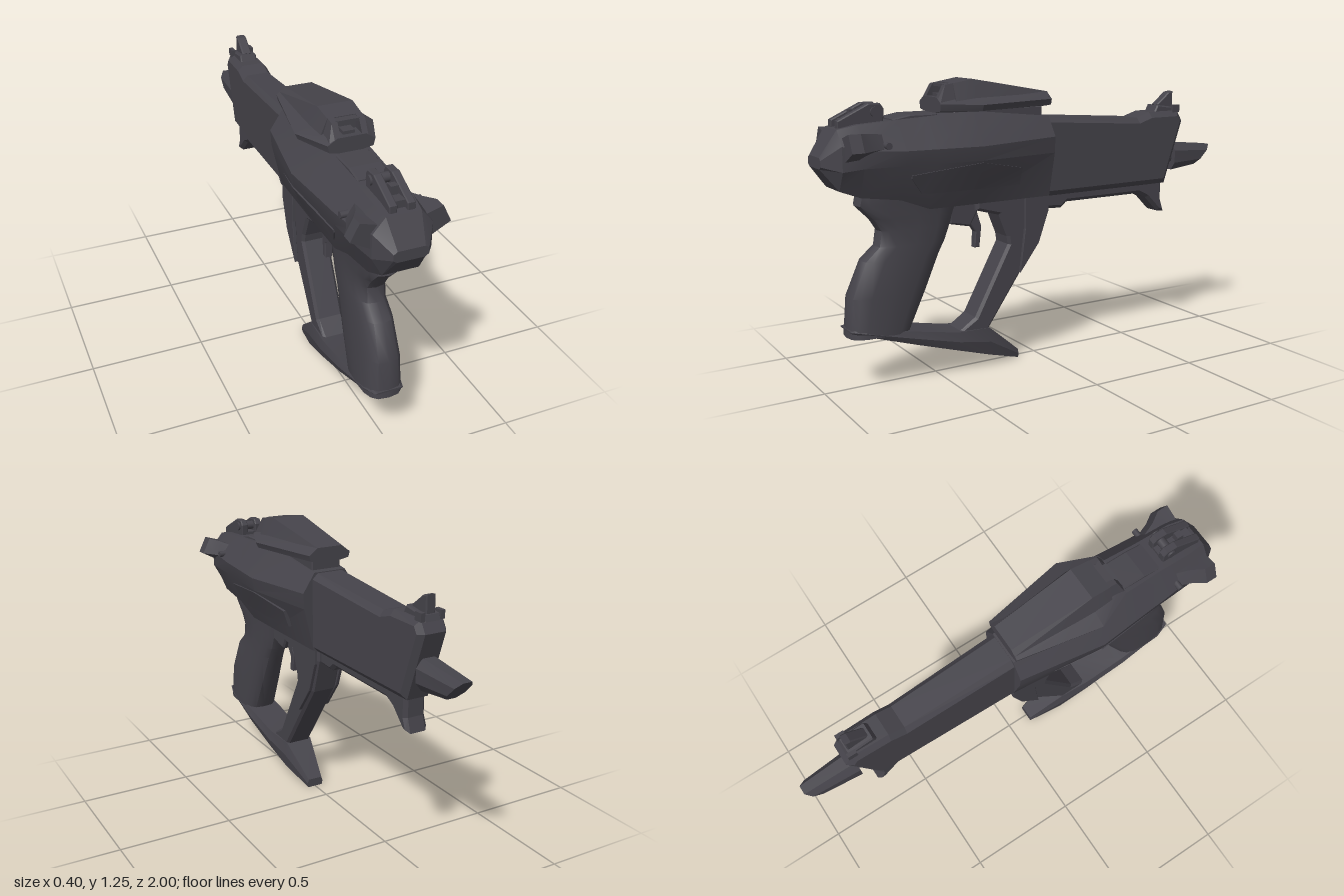
import * as THREE from 'three';
import { toCreasedNormals } from 'three/addons/utils/BufferGeometryUtils.js';

// Skin a list of equal-length rings of [x, y, z] points and cap both ends
function loft(rings, crease = 0.3) {
  const n = rings[0].length, tris = [];
  for (let i = 0; i < rings.length - 1; i++) {
    for (let j = 0; j < n; j++) {
      const k = (j + 1) % n;
      const [a, b, c, d] = [rings[i][j], rings[i][k], rings[i + 1][k], rings[i + 1][j]];
      tris.push([a, b, c], [a, c, d]);
    }
  }
  const last = rings[rings.length - 1];
  for (let j = 1; j < n - 1; j++) {
    tris.push([rings[0][0], rings[0][j + 1], rings[0][j]], [last[0], last[j], last[j + 1]]);
  }
  // Turn the corners round if the skin is inside out
  const v = (p) => new THREE.Vector3(...p);
  const volume = tris.reduce((s, [a, b, c]) => s + v(a).dot(v(b).cross(v(c))), 0);
  if (volume < 0) tris.forEach((t) => t.reverse());
  const geo = new THREE.BufferGeometry();
  geo.setAttribute('position', new THREE.Float32BufferAttribute(tris.flat(2), 3));
  return toCreasedNormals(geo, crease);
}

// Side profile of [z, y] points, extruded across x with chamfered edges
function slab(profile, halfWidth, bevel = 0.012, x = 0) {
  const shape = new THREE.Shape(profile.map(([z, y]) => new THREE.Vector2(z, y)));
  const depth = 2 * (halfWidth - bevel);
  const geo = new THREE.ExtrudeGeometry(shape, {
    depth, bevelEnabled: bevel > 0, bevelSegments: 1, bevelSize: bevel,
    bevelOffset: -bevel, bevelThickness: bevel,
  });
  return geo.translate(0, 0, -depth / 2).rotateY(-Math.PI / 2).translate(x, 0, 0);
}

// Symmetric ring at z from the +x half of a cross-section, listed top to bottom
const mirrorRing = (z, half) => [
  ...half.map(([x, y]) => [x, y, z]),
  ...half.slice().reverse().map(([x, y]) => [-x, y, z]),
];

// Receiver stations: z, then the right half of the section
const STATIONS = [
  [-0.03, [[0.075, 1.085], [0.13, 1.0], [0.125, 0.93], [0.08, 0.735]]],
  [0.35, [[0.09, 1.125], [0.187, 0.99], [0.177, 0.93], [0.085, 0.735]]],
  [0.55, [[0.085, 1.112], [0.17, 0.99], [0.16, 0.93], [0.085, 0.735]]],
  [0.68, [[0.08, 1.105], [0.16, 0.99], [0.15, 0.93], [0.09, 0.785]]],
  [0.85, [[0.08, 1.095], [0.145, 1.0], [0.14, 0.93], [0.09, 0.81]]],
  [0.93, [[0.07, 1.08], [0.12, 1.02], [0.12, 0.92], [0.075, 0.84]]],
  [1.0, [[0.055, 0.975], [0.07, 0.965], [0.07, 0.94], [0.055, 0.93]]],
];

// Receiver half-width at a given z and y on its lower flank
function flankX(z, y) {
  const i = Math.max(1, STATIONS.findIndex((s) => s[0] >= z));
  const [a, b] = [STATIONS[i - 1], STATIONS[i]];
  const t = (z - a[0]) / (b[0] - a[0]);
  const at = (k, c) => THREE.MathUtils.lerp(a[1][k][c], b[1][k][c], t);
  const s = (y - at(3, 1)) / (at(2, 1) - at(3, 1));
  return THREE.MathUtils.lerp(at(3, 0), at(2, 0), s);
}

export function createModel() {
  const model = new THREE.Group();
  const gunmetal = new THREE.MeshStandardMaterial({ color: 0x45434a });
  const add = (name, geo) => {
    const mesh = new THREE.Mesh(geo, gunmetal);
    mesh.name = name;
    model.add(mesh);
    return mesh;
  };
  const box = (name, w, h, d, x, y, z) =>
    add(name, new THREE.BoxGeometry(w, h, d).translate(x, y, z));

  // Receiver
  add('receiver', loft(STATIONS.map(([z, half]) => mirrorRing(z, half))));

  // Long housing, narrowing towards its far end
  const housing = slab([[0, 1.083], [-0.53, 1.048], [-0.6, 1.07], [-0.77, 1.07], [-0.8, 1.02],
    [-0.7, 0.73], [0, 0.73]], 0.085, 0.025);
  const p = housing.attributes.position;
  for (let i = 0; i < p.count; i++) p.setX(i, p.getX(i) * (1 + 0.27 * p.getZ(i)));
  housing.computeVertexNormals();
  add('barrelHousing', housing);
  add('lowerRail', slab([[-0.03, 0.75], [-0.03, 0.67], [-0.12, 0.665], [-0.15, 0.69], [-0.55, 0.69],
    [-0.6, 0.665], [-0.67, 0.595], [-0.71, 0.59], [-0.69, 0.65], [-0.69, 0.75]], 0.05, 0.015));

  // Barrel and slanted tip
  add('barrel', new THREE.CylinderGeometry(0.033, 0.033, 0.14, 12)
    .rotateX(Math.PI / 2).translate(0, 0.848, -0.72));
  const tipRing = (w, top, bottom, zTop, zBottom) => {
    const c = (top + bottom) / 2, h = (top - bottom) / 2;
    return [[0.5, 1], [1, 0.45], [1, -0.45], [0.5, -1], [-0.5, -1], [-1, -0.45], [-1, 0.45], [-0.5, 1]]
      .map(([x, y]) => [x * w, c + y * h, THREE.MathUtils.lerp(zBottom, zTop, (y + 1) / 2)]);
  };
  add('barrelTip', loft([tipRing(0.055, 0.915, 0.785, -0.76, -0.76),
    tipRing(0.04, 0.892, 0.8, -1, -0.91)]));

  // Far sight on its foot
  add('farSightFoot', slab([[-0.64, 1.06], [-0.66, 1.1], [-0.77, 1.085], [-0.78, 1.06]], 0.04, 0.006));
  add('farSight', slab([[-0.67, 1.1], [-0.74, 1.155], [-0.765, 1.16], [-0.765, 1.075],
    [-0.69, 1.08]], 0.022, 0.005));
  for (const s of [-1, 1]) {
    box('farSightLug', 0.018, 0.035, 0.04, s * 0.045, 1.08, -0.79 + 0.03);
  }

  // Scope: wide lower tray, tapered hood with an open front, lens block inside
  const tray = [[-0.03, 0.1, 1.135, 1.16], [0.34, 0.168, 1.13, 1.155], [0.5, 0.1, 1.13, 1.16]];
  add('scopeTray', loft(tray.map(([z, w, y0, y1]) =>
    mirrorRing(z, [[w * 0.6, y1 + 0.025], [w, y1], [w * 0.93, y0], [w * 0.5, y0 - 0.008]]))));
  add('scopeHood', loft([[-0.03, 0.06, 1.19, 0.085], [0.34, 0.075, 1.255, 0.108], [0.43, 0.072, 1.24, 0.1]]
    .map(([z, wt, yt, wb]) => mirrorRing(z, [[wt, yt], [wb, 1.17], [wb, 1.15]]))));
  for (const s of [-1, 1]) {
    add('scopeCheek', loft([[0.43, 1.24], [0.465, 1.235], [0.5, 1.175]].map(([z, y]) =>
      [[s * 0.045, y, z], [s * 0.07, y, z], [s * 0.095, 1.155, z], [s * 0.05, 1.155, z]])));
  }
  box('scopeBrow', 0.1, 0.012, 0.035, 0, 1.231, 0.445);
  box('scopeLensBlock', 0.05, 0.045, 0.05, 0, 1.175, 0.45);
  add('scopeMount', slab([[0.44, 1.09], [0.42, 1.135], [0.0, 1.13], [0.0, 1.07]], 0.07, 0.005));

  // Raised deck in front of the scope
  add('deck', slab([[0.5, 1.1], [0.5, 1.122], [0.62, 1.122], [0.7, 1.108], [0.7, 1.09]], 0.068, 0.005));

  // Near sight: two cheeks round a notch, with a cross pin
  box('nearSightBase', 0.1, 0.04, 0.17, 0, 1.095, 0.815);
  for (const s of [-1, 1]) {
    add('nearSightCheek', slab([[0.92, 1.07], [0.92, 1.11], [0.79, 1.172], [0.74, 1.172],
      [0.725, 1.15], [0.73, 1.07]], 0.016, 0.004, s * 0.036));
  }
  add('nearSightPin', new THREE.CylinderGeometry(0.02, 0.02, 0.12, 12)
    .rotateZ(Math.PI / 2).translate(0, 1.14, 0.765));
  box('nearSightBlade', 0.03, 0.05, 0.03, 0, 1.125, 0.84);

  for (const s of [-1, 1]) {
    const side = s > 0 ? 'left' : 'right';
    // Flared ears
    const ear = [[0.92, 0, 1], [0.87, 0, 1], [0.82, -0.032, 0.9], [0.75, -0.06, 0.75]];
    add(side + 'Ear', loft(ear.map(([z, dx, k]) =>
      [[0.08, 1.045], [0.165, 1.07], [0.2, 1.0], [0.12, 0.957]]
        .map(([x, y]) => [s * (x + dx), 1.01 + (y - 1.01) * k, z]))));
    add(side + 'Stud', new THREE.CylinderGeometry(0.014, 0.014, 0.04, 10)
      .rotateZ(Math.PI / 2).translate(s * 0.145, 1.015, 0.755));

    // Flank panel, following the receiver surface
    const panel = [[0.14, 0.88, 0.805], [0.35, 0.922, 0.805], [0.55, 0.9, 0.805], [0.6, 0.894, 0.81],
      [0.65, 0.888, 0.875]];
    add(side + 'FlankPanel', loft(panel.map(([z, y1, y0]) => [[y1, 0.007], [y0, 0.007], [y0, -0.03], [y1, -0.03]]
      .map(([y, lift]) => [s * (flankX(z, y) + lift), y, z]))));

    // Thin plates over the guard strut
    add(side + 'StrutPlate', slab([[0.09, 0.74], [0.09, 0.6], [0.115, 0.405], [0.02, 0.53],
      [-0.03, 0.67], [-0.03, 0.74]], 0.008, 0.002, s * 0.07));
  }

  // Grip: rounded rings with z limits, height and half-width
  const gripRows = [[0.83, 0.36, 0.83, 0.078], [0.845, 0.385, 0.765, 0.072], [0.785, 0.41, 0.705, 0.068],
    [0.752, 0.43, 0.655, 0.067], [0.762, 0.455, 0.59, 0.067], [0.825, 0.485, 0.535, 0.07],
    [0.888, 0.55, 0.39, 0.078], [0.9, 0.63, 0.225, 0.083]];
  add('grip', loft(gripRows.map(([z1, z0, y, w]) => Array.from({ length: 16 }, (_, i) => {
    const a = (i / 16) * Math.PI * 2, round = (c) => Math.sign(c) * Math.abs(c) ** 0.65;
    return [w * round(Math.sin(a)), y, (z1 + z0) / 2 + ((z1 - z0) / 2) * round(Math.cos(a))];
  })), 0.7));

  // Base plate under the grip, ending in a pointed toe
  const base = [[0.9, 0.262, 0.06], [0.84, 0.262, 0.08], [0.62, 0.222, 0.09], [0.42, 0.182, 0.085],
    [0.265, 0.175, 0.075], [0.105, 0.04, 0.04]];
  add('basePlate', loft(base.map(([z, top, w]) => {
    const bottom = 0.255 - (0.9 - z) * 0.319;
    return mirrorRing(z, [[w * 0.85, top], [w, (top + bottom) / 2], [w * 0.9, bottom]]);
  })));

  // Guard strut and trigger
  add('guardStrut', slab([[0.42, 0.17], [0.33, 0.23], [0.165, 0.535], [0.17, 0.57], [0.21, 0.67], [0.32, 0.7],
    [0.32, 0.76], [-0.03, 0.76], [-0.03, 0.68], [0.02, 0.52], [0.265, 0.17], [0.3, 0.12]], 0.062, 0.012));
  add('triggerHousing', slab([[0.45, 0.76], [0.435, 0.65], [0.34, 0.63], [0.3, 0.7], [0.25, 0.76]], 0.04, 0.008));
  add('trigger', slab([[0.345, 0.66], [0.305, 0.6], [0.31, 0.53], [0.285, 0.53], [0.275, 0.62],
    [0.3, 0.7]], 0.018, 0.004));

  return model;
}
